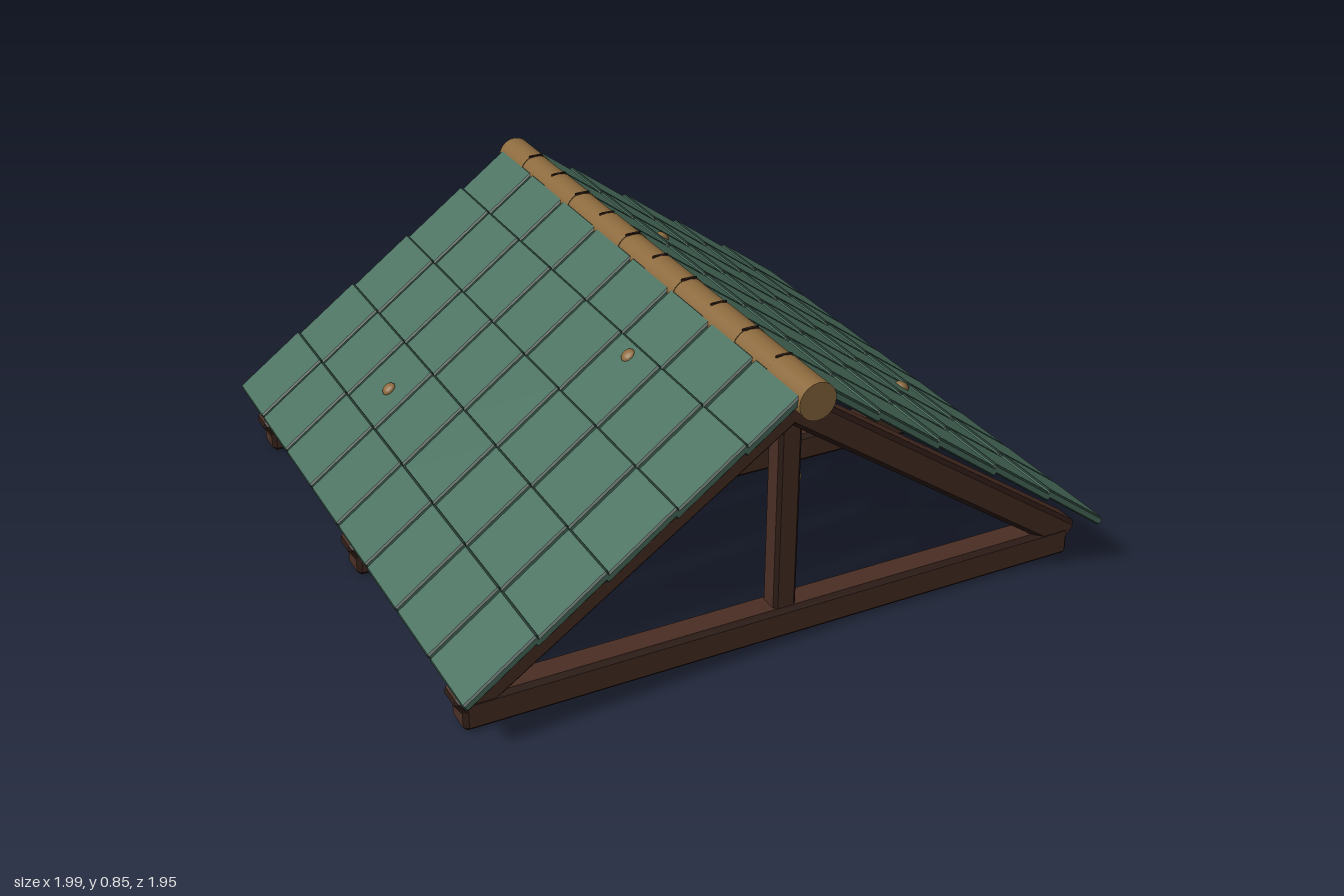
import * as THREE from 'three';
import { ConvexGeometry } from 'three/addons/geometries/ConvexGeometry.js';

const mat = (name, color) => {
  const m = new THREE.MeshStandardMaterial({ color });
  m.name = name;
  return m;
};

// Box with chamfered edges; group 0 is the flat faces, group 1 the chamfers
function chamferBox(w, h, d, c) {
  const pts = [];
  const [X, Y, Z] = [w / 2, h / 2, d / 2];
  for (const i of [-1, 1]) for (const j of [-1, 1]) for (const k of [-1, 1]) {
    pts.push(
      new THREE.Vector3(i * X, j * (Y - c), k * (Z - c)),
      new THREE.Vector3(i * (X - c), j * Y, k * (Z - c)),
      new THREE.Vector3(i * (X - c), j * (Y - c), k * Z));
  }
  const hull = new ConvexGeometry(pts);
  const p = hull.attributes.position.array;
  const n = hull.attributes.normal.array;
  const faces = [], edges = [];
  for (let t = 0; t < p.length; t += 9) {
    const flat = Math.max(Math.abs(n[t]), Math.abs(n[t + 1]), Math.abs(n[t + 2])) > 0.98;
    (flat ? faces : edges).push(...p.slice(t, t + 9));
  }
  const geo = new THREE.BufferGeometry();
  geo.setAttribute('position', new THREE.Float32BufferAttribute([...faces, ...edges], 3));
  geo.computeVertexNormals();
  geo.addGroup(0, faces.length / 3, 0);
  geo.addGroup(faces.length / 3, edges.length / 3, 1);
  return geo;
}

export function createModel() {
  const model = new THREE.Group();
  model.name = 'roof';
  const green = mat('tile green', 0x4b7160);
  const darkGreen = mat('tile edge', 0x2b4239);
  const brown = mat('timber brown', 0x4a2e24);
  const darkBrown = mat('timber edge', 0x2e1c16);
  const tan = mat('ridge wood', 0x8c6a3e);

  const add = (parent, name, geo, material, x, y, z, rz = 0) => {
    const mesh = new THREE.Mesh(geo, material);
    mesh.name = name;
    mesh.position.set(x, y, z);
    mesh.rotation.z = rz;
    parent.add(mesh);
    return mesh;
  };
  const timber = [brown, darkBrown];

  // Three trusses
  const pitch = Math.atan(0.687);
  const rafterLen = 1.2;
  const chordGeo = chamferBox(1.92, 0.096, 0.095, 0.013);
  const rafterGeo = chamferBox(rafterLen, 0.092, 0.092, 0.013);
  const postGeo = chamferBox(0.07, 0.64, 0.07, 0.01);
  for (const z of [-0.82, 0, 0.82]) {
    const truss = new THREE.Group();
    truss.name = 'truss';
    truss.position.z = z;
    add(truss, 'tieBeam', chordGeo, timber, 0, 0.05, 0);
    add(truss, 'kingPost', postGeo, timber, 0, 0.4, 0);
    for (const s of [-1, 1]) {
      // rafter starts at the foot and climbs to the ridge
      const x = -0.963 + Math.cos(pitch) * rafterLen / 2;
      const y = 0.062 + Math.sin(pitch) * rafterLen / 2;
      add(truss, 'rafter', rafterGeo, timber, -s * x, y, 0, -s * pitch);
    }
    model.add(truss);
  }

  // Tiles: five rows and eight columns on each slope, each a little steeper than the roof
  const tilt = Math.atan2(0.155, 0.21);
  const thick = 0.025;
  const tileGeo = chamferBox(0.26, thick, 0.231, 0.005);
  const topTileGeo = chamferBox(0.207, thick, 0.231, 0.005);
  for (const s of [-1, 1]) {
    const slope = new THREE.Group();
    slope.name = s > 0 ? 'leftSlope' : 'rightSlope';
    for (let row = 0; row < 5; row++) {
      const len = row === 4 ? 0.207 : 0.26;
      const x = 1 - row * 0.197 - Math.cos(tilt) * len / 2 - Math.sin(tilt) * thick / 2;
      const y = 0.165 + row * 0.1335 + Math.sin(tilt) * len / 2 - Math.cos(tilt) * thick / 2;
      for (let col = 0; col < 8; col++) {
        add(slope, 'tile', row === 4 ? topTileGeo : tileGeo, [green, darkGreen],
          s * x, y, (col - 3.5) * 0.2425, -s * tilt);
      }
    }
    model.add(slope);
  }

  // Round ridge pole in slightly uneven lengths
  const ridge = new THREE.Group();
  ridge.name = 'ridgePole';
  const segLen = 1.95 / 11;
  for (let i = 0; i < 11; i++) {
    const r = i % 2 ? 0.053 : 0.055;
    const geo = new THREE.CylinderGeometry(r, r, segLen, 20).rotateX(Math.PI / 2);
    add(ridge, 'ridgeLength', geo, tan, 0, 0.797, (i - 5) * segLen);
  }
  // Small dark cracks along the top of the pole
  const crackGeo = new THREE.CylinderGeometry(1, 1, 1, 10).scale(0.026, 0.006, 0.005);
  for (let i = 0; i < 10; i++) {
    add(ridge, 'crack', crackGeo, darkBrown, 0, 0.85, (i - 4.5) * segLen);
  }
  model.add(ridge);

  // Wooden knots on the tiles and timbers
  const knotGeo = new THREE.SphereGeometry(1, 10, 8).scale(0.023, 0.014, 0.023);
  for (const [x, y, z] of [[0.23, 0.695, -0.345], [0.695, 0.38, 0.345],
    [-0.7, 0.375, -0.345], [-0.23, 0.695, 0.345]]) {
    add(model, 'tileKnot', knotGeo, tan, x, y, z, -Math.sign(x) * tilt);
  }
  for (const [y, z] of [[0.49, 0.82], [0.49, 0], [0.27, -0.82]]) {
    add(model, 'postKnot', knotGeo, tan, 0.035, y, z, Math.PI / 2);
  }
  add(model, 'beamKnot', knotGeo, tan, -0.66, 0.05, -0.046).rotation.x = Math.PI / 2;

  return model;
}
